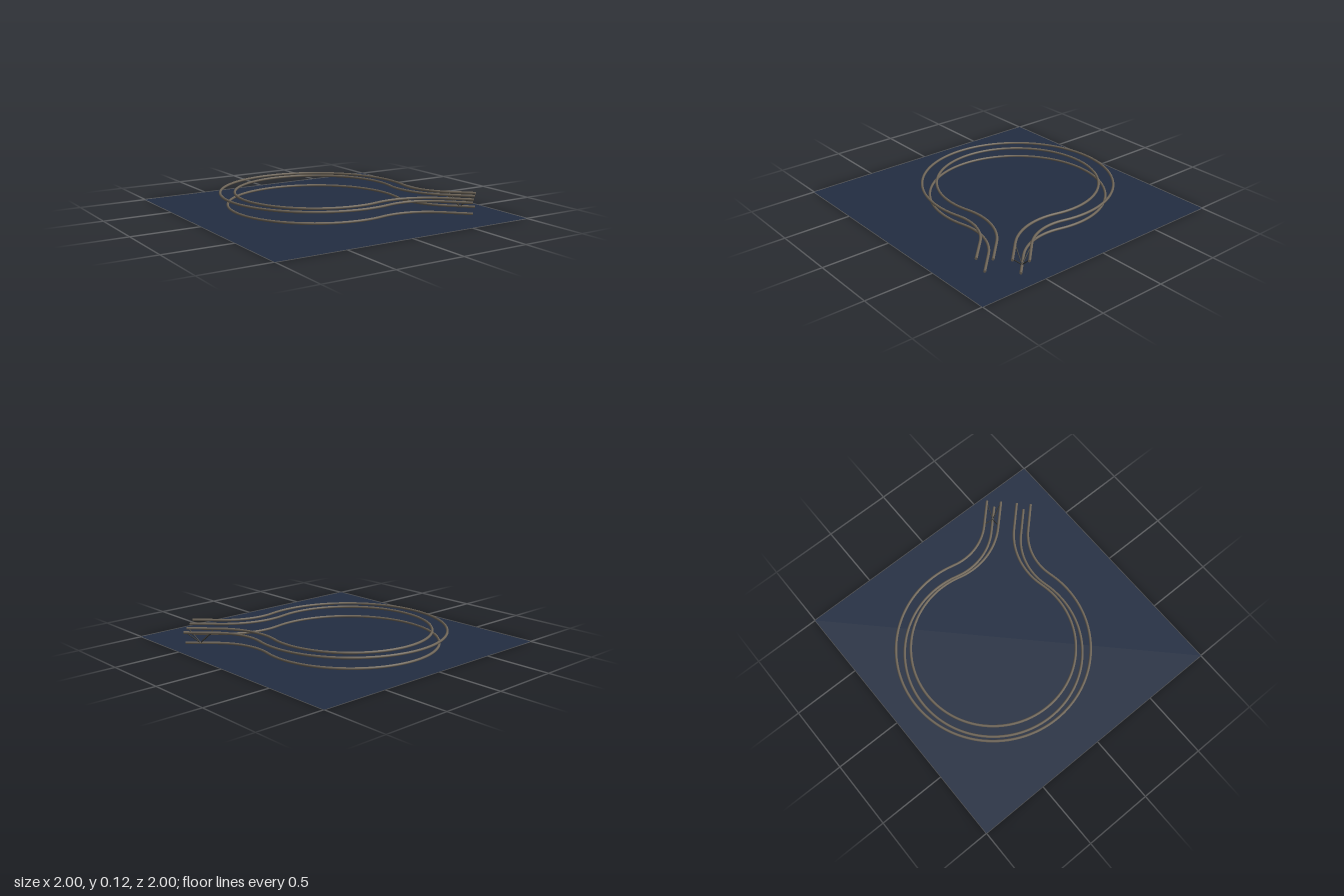
import * as THREE from 'three';

const CENTRE_X = -0.017, CENTRE_Z = -0.137;
const LOOP_R = 0.643;      // main loop radius
const BEND_R = 0.45;       // reverse bend radius
const EXIT_V = 0.113;      // half gap between the two exit straights
const END_U = 1.155;       // where the straights stop
const GAUGE = 0.053;       // side rail offset from the centre rail
const RAIL_TUBE = 0.0095;
const LOW_Y = 0.02, HIGH_Y = 0.11;

// The track is symmetric about a diagonal: u runs along it, v across it
const place = (u, v, y) => new THREE.Vector3(
  CENTRE_X + (u + v) * Math.SQRT1_2, y, CENTRE_Z + (u - v) * Math.SQRT1_2);

// Centreline: straight, reverse bend, big loop, then the mirror image
function railCurve(offset, y) {
  const bendV = EXIT_V + BEND_R;
  const bendU = Math.sqrt((LOOP_R + BEND_R) ** 2 - bendV ** 2);
  const join = Math.atan2(bendV, bendU);
  const half = [];
  for (let i = 0; i < 4; i++) {
    half.push([THREE.MathUtils.lerp(END_U, bendU, i / 4), EXIT_V + offset]);
  }
  for (let i = 0; i < 12; i++) {
    const a = THREE.MathUtils.lerp(-Math.PI / 2, join - Math.PI, i / 12);
    const r = BEND_R - offset;
    half.push([bendU + r * Math.cos(a), bendV + r * Math.sin(a)]);
  }
  for (let i = 0; i < 32; i++) {
    const a = THREE.MathUtils.lerp(join, Math.PI, i / 32);
    half.push([(LOOP_R + offset) * Math.cos(a), (LOOP_R + offset) * Math.sin(a)]);
  }
  const mirrored = half.map(([u, v]) => [u, -v]).reverse();
  const all = [...half, [-(LOOP_R + offset), 0], ...mirrored];
  return new THREE.CatmullRomCurve3(all.map(([u, v]) => place(u, v, y)));
}

function makeRail(name, offset, y, material) {
  const rail = new THREE.Group();
  rail.name = name;
  const curve = railCurve(offset, y);
  const tube = new THREE.Mesh(new THREE.TubeGeometry(curve, 220, RAIL_TUBE, 8), material);
  tube.name = name + 'Tube';
  rail.add(tube);
  // Close both ends
  for (const t of [0, 1]) {
    const cap = new THREE.Mesh(new THREE.CircleGeometry(RAIL_TUBE, 8), material);
    const p = curve.getPointAt(t);
    const outward = curve.getTangentAt(t).multiplyScalar(t ? 1 : -1);
    cap.position.copy(p);
    cap.lookAt(p.clone().add(outward));
    cap.name = name + 'Cap';
    rail.add(cap);
  }
  return rail;
}

// Thin rod between two points
function makeStrut(a, b, radius, material) {
  const dir = b.clone().sub(a);
  const mesh = new THREE.Mesh(new THREE.CylinderGeometry(radius, radius, dir.length(), 6), material);
  mesh.position.copy(a).add(b).multiplyScalar(0.5);
  mesh.quaternion.setFromUnitVectors(new THREE.Vector3(0, 1, 0), dir.normalize());
  mesh.name = 'supportStrut';
  return mesh;
}

export function createModel() {
  const ground = new THREE.MeshStandardMaterial({ color: 0x222d42, side: THREE.DoubleSide });
  ground.name = 'navy ground';
  const steel = new THREE.MeshStandardMaterial({ color: 0x6e6558 });
  steel.name = 'warm grey rail';
  const dark = new THREE.MeshStandardMaterial({ color: 0x3a3a36 });
  dark.name = 'dark strut';

  const model = new THREE.Group();
  model.name = 'trackLoop';

  // Flat ground
  const base = new THREE.Mesh(new THREE.PlaneGeometry(2, 2), ground);
  base.rotation.x = -Math.PI / 2;
  base.name = 'groundPlane';
  model.add(base);

  // Low centre rail and two raised side rails
  model.add(makeRail('spineRail', 0, LOW_Y, steel));
  model.add(makeRail('outerRail', GAUGE, HIGH_Y, steel));
  model.add(makeRail('innerRail', -GAUGE, HIGH_Y, steel));

  // Four struts fan out from the spine to the side rails
  const support = new THREE.Group();
  support.name = 'support';
  const foot = place(1.049, EXIT_V, LOW_Y);
  for (const su of [-1, 1]) {
    for (const sv of [-1, 1]) {
      const top = place(1.049 + su * 0.09, EXIT_V + sv * 0.05, HIGH_Y - 0.002);
      support.add(makeStrut(foot, top, 0.004, dark));
    }
  }
  model.add(support);
  return model;
}
